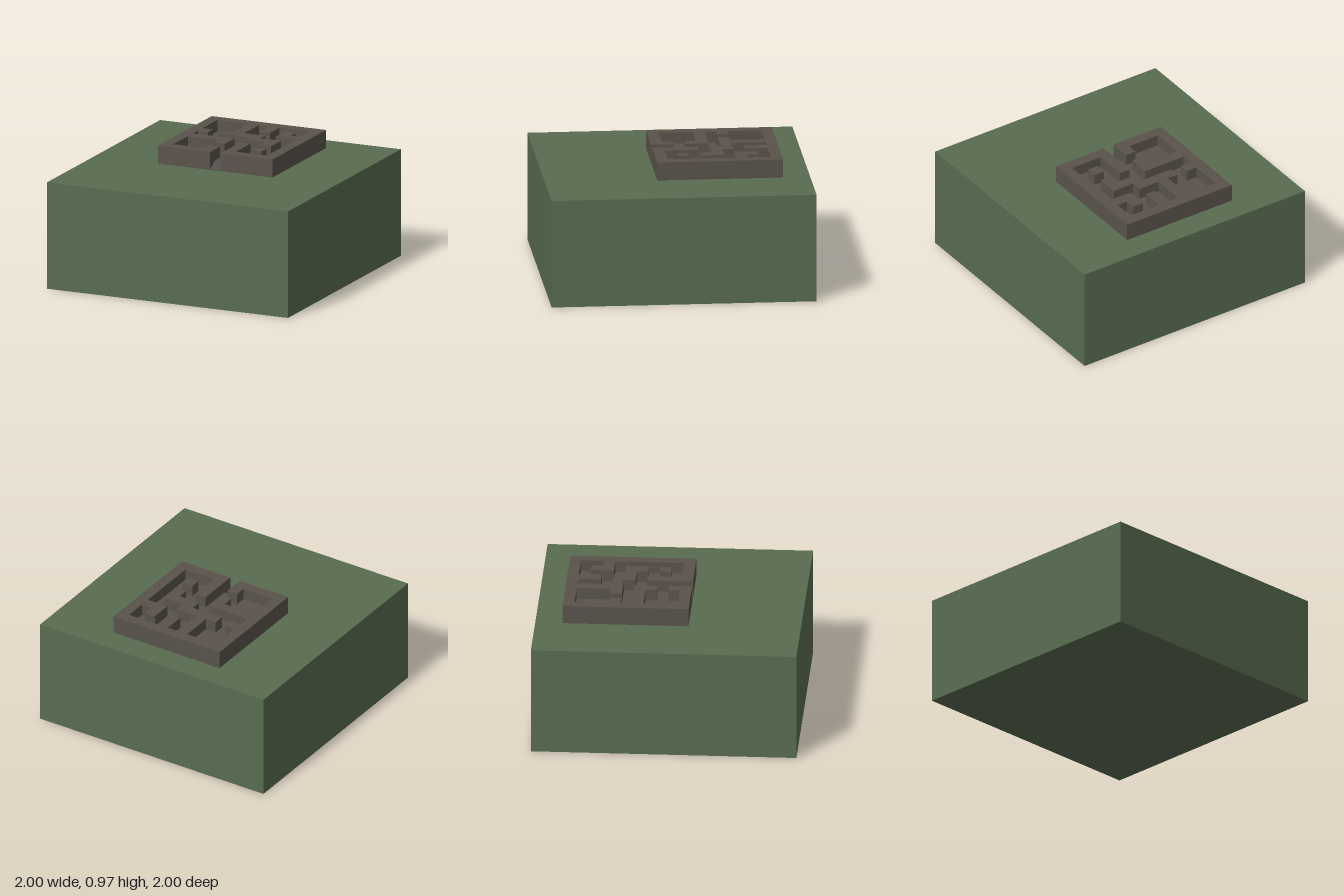
import * as THREE from 'three';

const GROUND = 0.828, FLOOR = 0.88, TOP = 0.968;
const SPAN = 0.95, N = 11, CELL = SPAN / N;
const LEFT = -SPAN / 2, BACK = -0.796;

// corridor outline in grid cells [column, row], from one door jamb round to the other
const corridor = [
  [5, 9], [4, 9], [4, 10], [1, 10], [1, 7], [4, 7], [4, 8], [5, 8],
  [5, 6], [1, 6], [1, 5], [2, 5], [2, 4], [1, 4], [1, 1], [4, 1], [4, 4],
  [3, 4], [3, 5], [6, 5], [6, 6], [8, 6], [8, 7], [9, 7], [9, 5],
  [7, 5], [7, 4], [5, 4], [5, 1], [6, 1], [6, 3], [7, 3], [7, 1],
  [10, 1], [10, 3], [9, 3], [9, 2], [8, 2], [8, 4], [10, 4],
  [10, 10], [7, 10], [7, 7], [6, 7],
];
const pillarCells = [[8, 8], [9, 8], [9, 9], [8, 9]];

// grid cells to a flat outline (shape y becomes -z once laid down)
const outline = (cells) =>
  cells.map(([c, r]) => new THREE.Vector2(LEFT + c * CELL, -(BACK + r * CELL)));

// extrude an outline upward between two heights
function slab(name, cells, y0, y1, material, holes = []) {
  const shape = new THREE.Shape(outline(cells));
  for (const h of holes) shape.holes.push(new THREE.Path(outline(h)));
  const geo = new THREE.ExtrudeGeometry(shape, { depth: y1 - y0, bevelEnabled: false });
  geo.rotateX(-Math.PI / 2);
  geo.translate(0, y0, 0);
  const mesh = new THREE.Mesh(geo, material);
  mesh.name = name;
  return mesh;
}

export function createModel() {
  const grass = new THREE.MeshStandardMaterial({ name: 'grass green', color: 0x586c50 });
  const stone = new THREE.MeshStandardMaterial({ name: 'brown stone', color: 0x5a534b });
  const rampStone = new THREE.MeshStandardMaterial({ name: 'dark grey stone', color: 0x4c4a49 });

  const model = new THREE.Group();
  model.name = 'mazeOnGround';

  // thick block of ground
  const ground = new THREE.Mesh(new THREE.BoxGeometry(2, GROUND, 2), grass);
  ground.name = 'ground';
  ground.position.y = GROUND / 2;
  model.add(ground);

  // maze walls: the square, cut by the corridor from the front doorway
  const walls = [[0, 0], [0, N], [5, N], ...corridor, [6, N], [N, N], [N, 0]];
  model.add(slab('mazeWalls', walls, GROUND, TOP, stone));
  model.add(slab('pillar', pillarCells, GROUND, TOP, stone));

  // raised corridor floor, stopping one cell short of the doorway
  const floor = [[5, 10], ...corridor, [6, 10]];
  model.add(slab('mazeFloor', floor, GROUND, FLOOR, stone, [pillarCells]));

  // entrance ramp, a side profile in z and y extruded across the doorway
  const zIn = BACK + 10 * CELL, zOut = BACK + N * CELL;
  const profile = new THREE.Shape([
    new THREE.Vector2(zIn, GROUND), new THREE.Vector2(zOut, GROUND),
    new THREE.Vector2(zOut, GROUND + 0.006), new THREE.Vector2(zIn, FLOOR),
  ]);
  const rampGeo = new THREE.ExtrudeGeometry(profile, { depth: CELL, bevelEnabled: false });
  rampGeo.rotateY(-Math.PI / 2);
  rampGeo.translate(CELL / 2, 0, 0);
  const ramp = new THREE.Mesh(rampGeo, rampStone);
  ramp.name = 'entranceRamp';
  model.add(ramp);

  return model;
}
